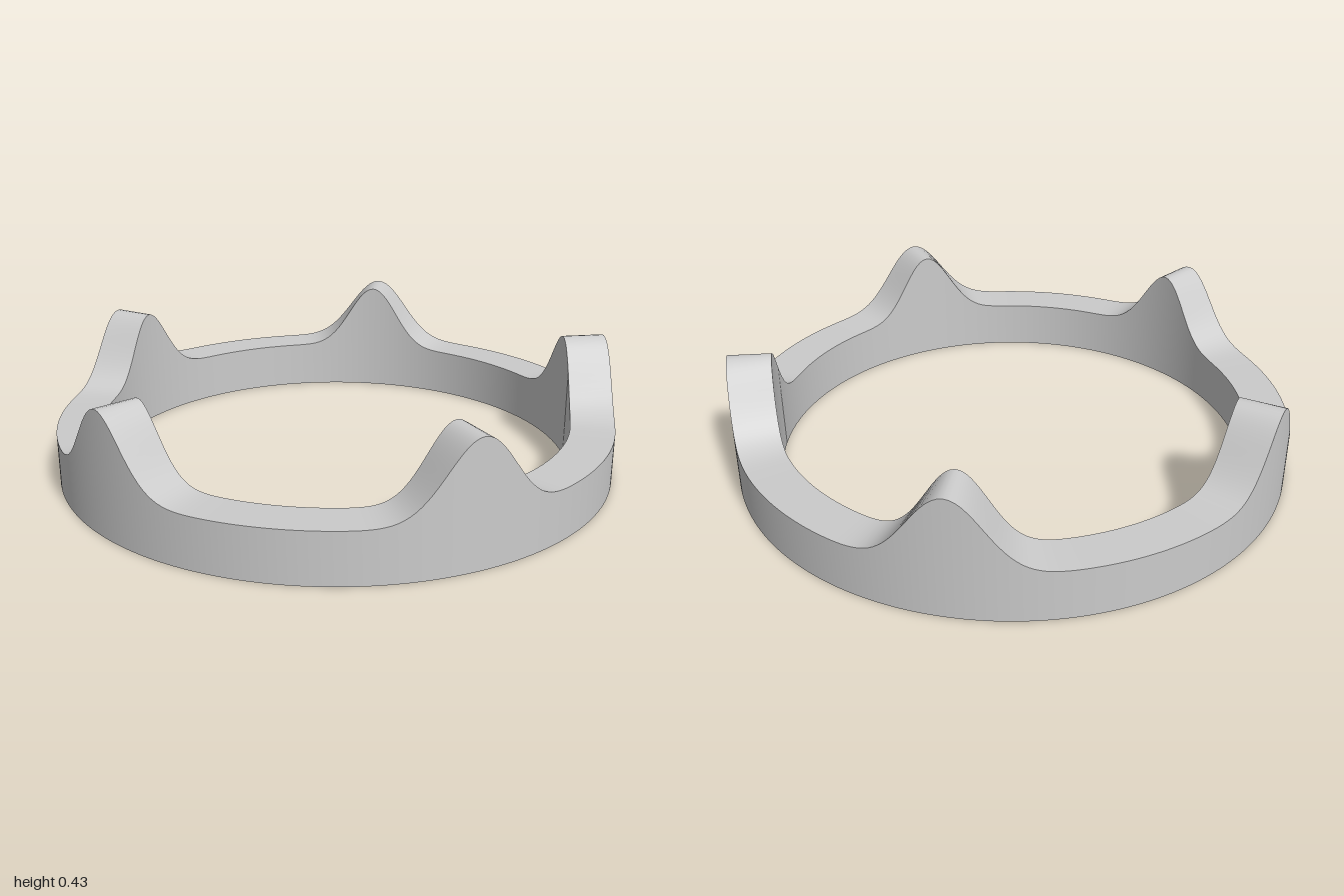
import * as THREE from 'three';

const OUTER = 1, INNER = 0.845, BASE = 0.178, RISE = 0.251, POINTS = 5, SEGMENTS = 360;

// Rim height: five smooth, evenly spaced peaks, the first at +x
const rimHeight = (a) => BASE + RISE * Math.pow((1 + Math.cos(POINTS * a)) / 2, 6);
const floor = () => 0;

// Closed band swept around y between two edges, each a radius and a height rule
function band([r0, h0], [r1, h1]) {
  const positions = [], index = [];
  for (let i = 0; i < SEGMENTS; i++) {
    const a = (i / SEGMENTS) * Math.PI * 2, c = Math.cos(a), s = Math.sin(a);
    positions.push(r0 * c, h0(a), r0 * s, r1 * c, h1(a), r1 * s);
    const p = 2 * i, q = 2 * ((i + 1) % SEGMENTS);
    index.push(p, p + 1, q + 1, p, q + 1, q);
  }
  const geometry = new THREE.BufferGeometry();
  geometry.setAttribute('position', new THREE.Float32BufferAttribute(positions, 3));
  geometry.setIndex(index);
  geometry.computeVertexNormals();
  return geometry;
}

export function createModel() {
  const group = new THREE.Group();
  group.name = 'crownRing';
  const material = new THREE.MeshStandardMaterial({ color: 0xcccccc });

  // Cross-section corners in order; separate bands keep the edges sharp
  const corners = [[OUTER, floor], [OUTER, rimHeight], [INNER, rimHeight], [INNER, floor]];
  ['outerWall', 'peakedRim', 'innerWall', 'underside'].forEach((name, i) => {
    const mesh = new THREE.Mesh(band(corners[i], corners[(i + 1) % 4]), material);
    mesh.name = name;
    group.add(mesh);
  });
  return group;
}
